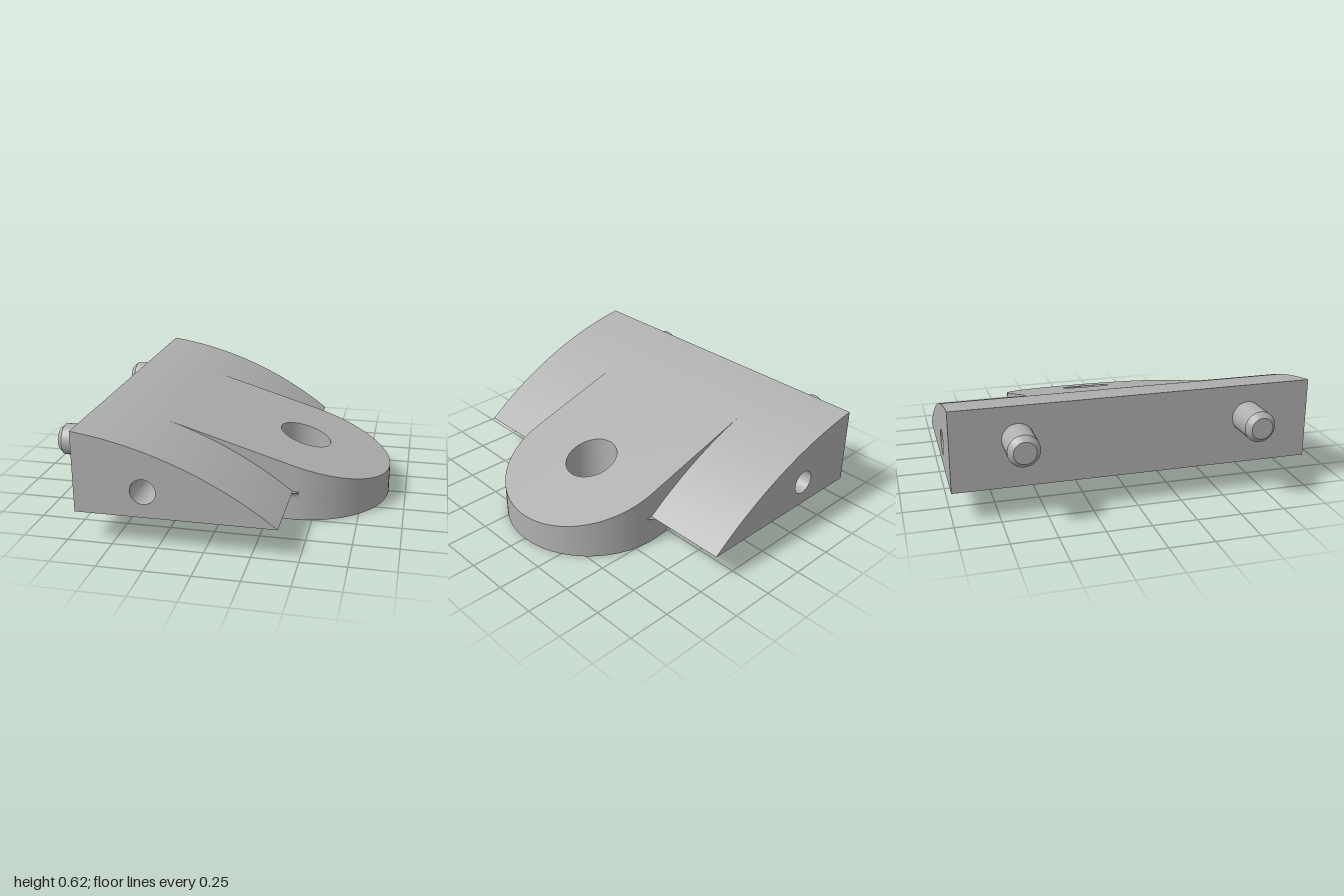
import * as THREE from 'three';
import { toCreasedNormals } from 'three/addons/utils/BufferGeometryUtils.js';

const BASE = 0.17;                       // underside of the wedge body
const BACK = -0.7, EDGE = 0.39;          // body extent in x; EDGE is also the boss axis
const R = 0.51, BORE = 0.15;             // boss and bore radius
const SPLIT = -0.05;                     // where the block ends and the arm begins
const ARC = { x: -0.984, y: -1.611, r: 2.25 }; // crown of the wedge
const TANGENT = THREE.MathUtils.degToRad(73.2);
const tangentX = ARC.x + ARC.r * Math.cos(TANGENT);
const tangentY = ARC.y + ARC.r * Math.sin(TANGENT);
const slopeY = x => Math.max(BASE, tangentY - (x - tangentX) / Math.tan(TANGENT));

const angleAt = x => Math.acos((x - ARC.x) / ARC.r);

function hole(x, y, r) {
  return new THREE.Path().absarc(x, y, r, 0, Math.PI * 2, true);
}

function extrude(shape, depth) {
  return new THREE.ExtrudeGeometry(shape, { depth, bevelEnabled: false, curveSegments: 40 });
}

export function createModel() {
  const model = new THREE.Group();
  model.name = 'hingeBracket';
  const metal = new THREE.MeshStandardMaterial({ color: 0xb0b0b0 });
  metal.name = 'grey metal';

  function add(name, geometry) {
    const mesh = new THREE.Mesh(toCreasedNormals(geometry, 0.5), metal);
    mesh.name = name;
    model.add(mesh);
    return mesh;
  }

  // Side wings: curved wedge with the cross hole
  const wing = new THREE.Shape();
  wing.moveTo(BACK, BASE);
  wing.lineTo(EDGE, BASE);
  wing.absarc(ARC.x, ARC.y, ARC.r, angleAt(EDGE), angleAt(BACK), false);
  wing.closePath();
  wing.holes.push(hole(-0.32, 0.315, 0.07));
  add('leftWing', extrude(wing, 1 - R).translate(0, 0, R));
  add('rightWing', extrude(wing, 1 - R).translate(0, 0, -1));

  // Middle block: same crown, running tangent into the sloping arm
  const block = new THREE.Shape();
  block.moveTo(BACK, BASE);
  block.lineTo(SPLIT, BASE);
  block.lineTo(SPLIT, slopeY(SPLIT));
  block.absarc(ARC.x, ARC.y, ARC.r, TANGENT, angleAt(BACK), false);
  block.closePath();
  block.holes.push(hole(-0.32, 0.315, 0.07));
  add('middleBlock', extrude(block, 2 * R).translate(0, 0, -R));

  // Rounded arm: its top is sheared down to the slope
  const arm = new THREE.Shape();
  arm.moveTo(SPLIT, -R);
  arm.lineTo(EDGE, -R);
  arm.absarc(EDGE, 0, R, -Math.PI / 2, Math.PI / 2, false);
  arm.lineTo(SPLIT, R);
  arm.closePath();
  arm.holes.push(hole(EDGE, 0, BORE));
  const armGeometry = extrude(arm, 1).rotateX(-Math.PI / 2);
  const p = armGeometry.attributes.position;
  for (let i = 0; i < p.count; i++) {
    p.setY(i, p.getY(i) > 0.5 ? slopeY(p.getX(i)) : BASE);
  }
  add('slopingArm', armGeometry);

  // Round foot with the bore and a ring of eight blind bolt holes
  const foot = new THREE.Shape().absarc(0, 0, R, 0, Math.PI * 2, false);
  foot.holes.push(hole(0, 0, BORE));
  for (let i = 0; i < 8; i++) {
    const a = i * Math.PI / 4;
    foot.holes.push(hole(0.305 * Math.cos(a), 0.305 * Math.sin(a), 0.037));
  }
  add('roundFoot', extrude(foot, BASE).rotateX(-Math.PI / 2).translate(EDGE, 0, 0));

  // Fillet between foot and body underside, fading out past the body edge
  const f = 0.035, profile = [];
  for (let i = 0; i <= 6; i++) {
    const a = i / 6 * Math.PI / 2;
    profile.push(new THREE.Vector2(R + f * (1 - Math.cos(a)), BASE - f + f * Math.sin(a)));
  }
  profile.push(new THREE.Vector2(R, BASE));
  const fade = 0.07;
  const fillet = new THREE.LatheGeometry(profile, 60, Math.PI - fade, Math.PI + 2 * fade);
  const q = fillet.attributes.position;
  for (let i = 0; i < q.count; i++) {
    const x = q.getX(i), z = q.getZ(i);
    if (x <= 0) continue;
    const r = Math.hypot(x, z);
    const keep = Math.max(0, 1 - x / (R * Math.sin(fade)));
    const s = (R + (r - R) * keep) / r;
    q.setX(i, x * s);
    q.setZ(i, z * s);
  }
  add('footFillet', fillet.translate(EDGE, 0, 0));

  // Chamfered locating pins on the back face
  const pin = [[0.087, 0], [0.087, 0.17], [0.06, 0.2], [0, 0.2]]
    .map(([r, h]) => new THREE.Vector2(r, h));
  for (const side of [1, -1]) {
    const geometry = new THREE.LatheGeometry(pin, 32).rotateZ(Math.PI / 2);
    add(side > 0 ? 'leftPin' : 'rightPin', geometry.translate(BACK, 0.437, side * 0.642));
  }

  return model;
}
